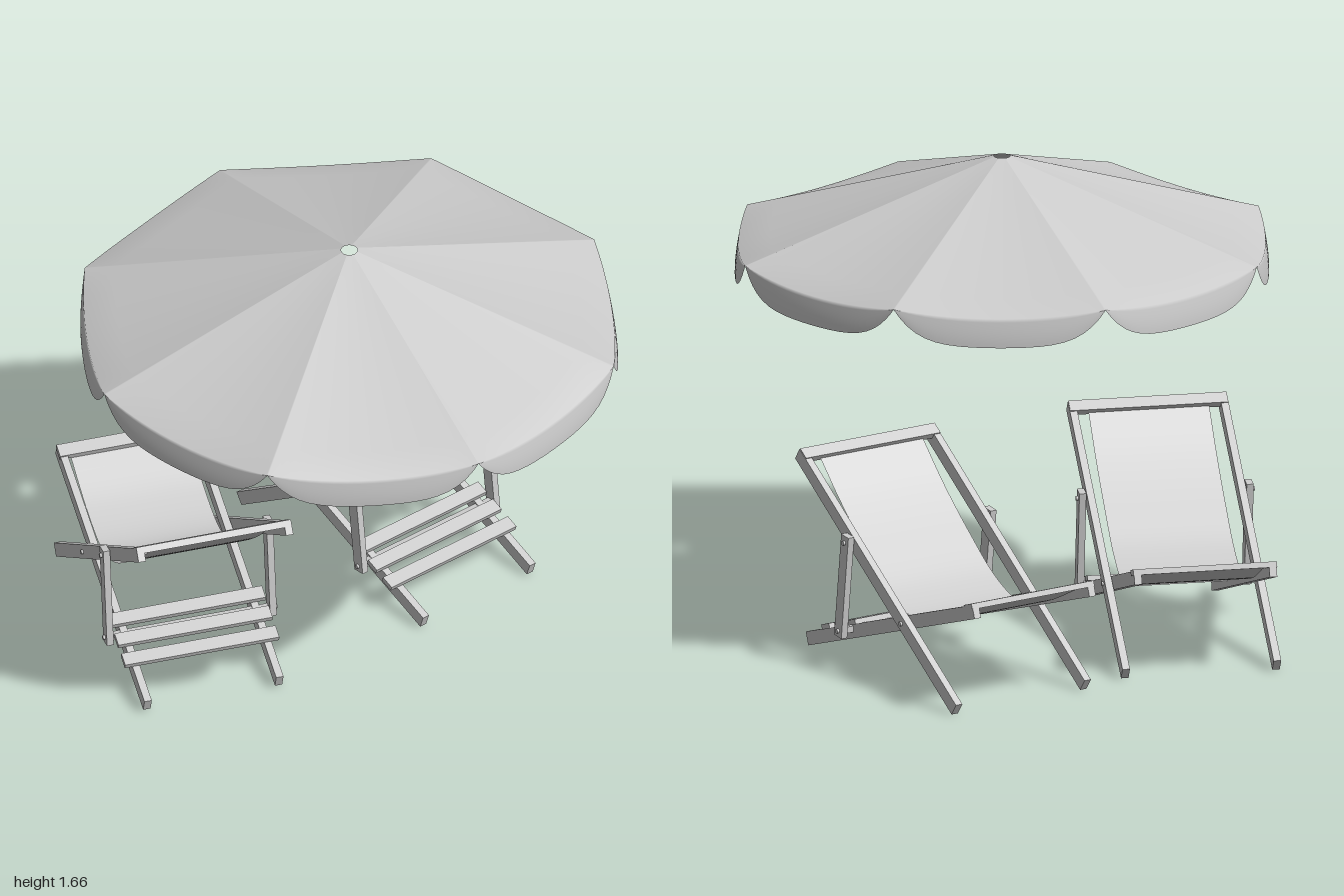
import * as THREE from 'three';

const grey = new THREE.MeshStandardMaterial({ color: 0xcccccc });
const cloth = new THREE.MeshStandardMaterial({ color: 0xcccccc, side: THREE.DoubleSide });

// Grid surface: fn(i, j) gives the point at column i, row j
function sheet(name, cols, rows, fn) {
  const geo = new THREE.PlaneGeometry(1, 1, cols, rows);
  const pos = geo.attributes.position;
  for (let j = 0; j <= rows; j++)
    for (let i = 0; i <= cols; i++) pos.setXYZ(j * (cols + 1) + i, ...fn(i, j));
  geo.computeVertexNormals();
  const mesh = new THREE.Mesh(geo, cloth);
  mesh.name = name;
  return mesh;
}

// Eight-panel parasol canopy with a scalloped valance
function createCanopy() {
  const panels = 8, perPanel = 24, top = 8, drop = 8;
  const canopy = sheet('parasolCanopy', panels * perPanel, top + drop, (i, j) => {
    const p = Math.floor(i / perPanel);
    // s runs -1..1 across a panel, denser near the ridges
    const s = -Math.cos(((i - p * perPanel) / perPanel) * Math.PI);
    const a = ((p + (s + 1) / 2) / panels) * Math.PI * 2;
    const rimR = 0.945 - 0.045 * (1 - s * s);
    const rimY = 1.375 - 0.025 * (1 - s * s);
    let r, y;
    if (j <= top) {
      r = THREE.MathUtils.lerp(0.028, rimR, j / top);
      y = THREE.MathUtils.lerp(1.66, rimY, j / top);
    } else {
      const t = (j - top) / drop;
      const depth = 1 - Math.abs(s) ** 5;
      r = rimR + 0.012 * Math.sin((t * Math.PI) / 2) * depth;
      y = rimY - 0.1 * t * depth;
    }
    return [Math.sin(a) * r, y, Math.cos(a) * r];
  });
  canopy.position.z = 0.05;
  return canopy;
}

// Wooden bar in the side plane between [z, y] points
function beam(name, x, a, b, width = 0.026, height = 0.048) {
  const dz = b[0] - a[0], dy = b[1] - a[1];
  const mesh = new THREE.Mesh(new THREE.BoxGeometry(width, height, Math.hypot(dz, dy)), grey);
  mesh.position.set(x, (a[1] + b[1]) / 2, (a[0] + b[0]) / 2);
  mesh.rotation.x = -Math.atan2(dy, dz);
  mesh.name = name;
  return mesh;
}

// Cross bar spanning the chair, tilted with its frame
function crossbar(name, length, z, y, tilt, depth, thick) {
  const mesh = new THREE.Mesh(new THREE.BoxGeometry(length, thick, depth), grey);
  mesh.position.set(0, y, z);
  mesh.rotation.x = tilt;
  mesh.name = name;
  return mesh;
}

function bolt(x, z, y) {
  const mesh = new THREE.Mesh(new THREE.CylinderGeometry(0.008, 0.008, 0.012, 12), grey);
  mesh.rotation.z = Math.PI / 2;
  mesh.position.set(x, y, z);
  mesh.name = 'bolt';
  return mesh;
}

// Folding deck chair whose seat opens towards -z
function createDeckChair(name) {
  const chair = new THREE.Group();
  chair.name = name;
  const backTop = [0.533, 0.69], backFoot = [-0.436, 0.021];
  const seatRear = [0.515, 0.031], seatFront = [-0.515, 0.385];
  const seatY = z => 0.031 + (0.515 - z) * 0.344;
  const backTilt = -Math.atan2(0.669, 0.969), seatTilt = Math.atan(0.344);

  for (const side of [-1, 1]) {
    chair.add(
      beam('backRail', side * 0.263, backTop, backFoot),
      beam('seatRail', side * 0.235, seatRear, seatFront),
      beam('strut', side * 0.291, [0.198, 0.485], [0.242, 0.115], 0.024, 0.045),
      bolt(side * 0.305, 0.201, 0.46),
      bolt(side * 0.305, 0.239, 0.137),
      bolt(side * 0.277, -0.11, 0.246)
    );
  }

  // Head bar, front bar and the rear slats
  chair.add(crossbar('headBar', 0.55, 0.505, 0.69, backTilt, 0.045, 0.024));
  chair.add(crossbar('frontBar', 0.5, -0.485, seatY(-0.485) + 0.02, seatTilt, 0.05, 0.02));
  for (const z of [0.2, 0.28, 0.36])
    chair.add(crossbar('rearSlat', 0.55, z, seatY(z) + 0.033, seatTilt, 0.05, 0.018));
  chair.add(crossbar('strutRod', 0.58, 0.239, 0.137, 0, 0.022, 0.022));

  // Hanging fabric sling
  const path = new THREE.CatmullRomCurve3(
    [[0.5, 0.685], [0.36, 0.545], [0.2, 0.41], [0.04, 0.295], [-0.1, 0.247], [-0.27, 0.285], [-0.48, 0.385]]
      .map(([z, y]) => new THREE.Vector3(0, y, z)));
  chair.add(sheet('sling', 4, 40, (i, j) => {
    const p = path.getPoint(j / 40);
    return [(i / 4 - 0.5) * 0.42, p.y, p.z];
  }));
  return chair;
}

export function createModel() {
  const model = new THREE.Group();
  model.name = 'beachSet';
  model.add(createCanopy());

  const rightChair = createDeckChair('rightDeckChair');
  rightChair.position.set(-0.475, 0, -0.365);
  rightChair.rotation.y = -0.19;

  const leftChair = createDeckChair('leftDeckChair');
  leftChair.position.set(0.385, 0, -0.4375);
  leftChair.rotation.y = 0.2;

  model.add(rightChair, leftChair);
  return model;
}
